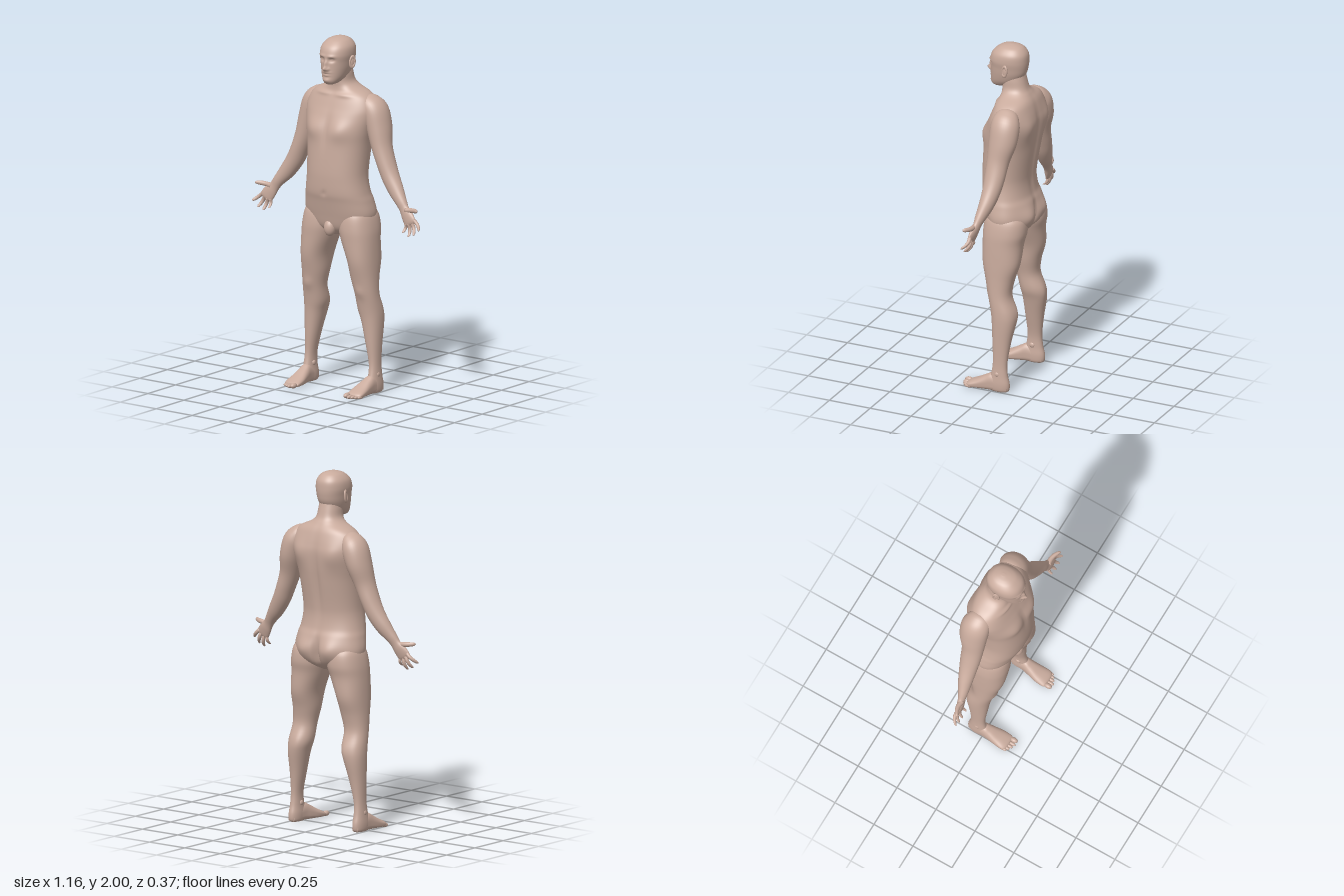
import * as THREE from 'three';

const skin = new THREE.MeshStandardMaterial({ color: 0xc9ab9d });
const sp = (v, p) => Math.sign(v) * Math.abs(v) ** p;

// Catmull-Rom blend of table rows
function sample(rows, t) {
  const last = rows.length - 1;
  const i = Math.min(Math.floor(t), last - 1), f = t - i;
  const [a, b, c, d] = [Math.max(i - 1, 0), i, i + 1, Math.min(i + 2, last)].map(k => rows[k]);
  return b.map((_, k) => 0.5 * (2 * b[k] + (c[k] - a[k]) * f
    + (2 * a[k] - 5 * b[k] + 4 * c[k] - d[k]) * f * f
    + (3 * b[k] - a[k] - 3 * c[k] + d[k]) * f * f * f));
}

// Closed smooth skin through cross-sections; side = -1 mirrors it in x
function loft(name, rows, place, { seg = 32, steps = 5, side = 1, bumps = [] } = {}) {
  const pos = [], idx = [], n = (rows.length - 1) * steps;
  for (let i = 0; i <= n; i++) {
    const t = i / steps, row = sample(rows, t);
    const before = sample(rows, Math.max(t - 0.05, 0)), after = sample(rows, Math.min(t + 0.05, rows.length - 1));
    const tangent = after.map((v, k) => v - before[k]);
    for (let j = 0; j < seg; j++) {
      const a = j / seg * Math.PI * 2;
      const p = place(row, Math.cos(a), Math.sin(a), tangent);
      // soft muscle and face forms: [face, |x|, y, widthX, widthY, amount]
      let dz = 0;
      for (const [face, bx, by, wx, wy, amount] of bumps) {
        const s = Math.min(1, Math.max(0, face * Math.sin(a) * 2));
        dz += face * s * amount * Math.exp(-(((Math.abs(p[0]) - bx) / wx) ** 2) - ((p[1] - by) / wy) ** 2);
      }
      pos.push(p[0] * side, p[1], p[2] + dz);
    }
  }
  for (let i = 0; i < n; i++) for (let j = 0; j < seg; j++) {
    const a = i * seg + j, b = i * seg + (j + 1) % seg;
    idx.push(a, a + seg, b, b, a + seg, b + seg);
  }
  for (const r of [0, n]) {
    const c = [0, 0, 0], at = pos.length / 3;
    for (let j = 0; j < seg; j++) for (let k = 0; k < 3; k++) c[k] += pos[(r * seg + j) * 3 + k] / seg;
    pos.push(...c);
    for (let j = 0; j < seg; j++) {
      const a = r * seg + j, b = r * seg + (j + 1) % seg;
      idx.push(at, r ? b : a, r ? a : b);
    }
  }
  // turn the faces outward
  const P = i => new THREE.Vector3().fromArray(pos, i * 3);
  let volume = 0;
  for (let i = 0; i < idx.length; i += 3) volume += P(idx[i]).dot(P(idx[i + 1]).cross(P(idx[i + 2])));
  if (volume < 0) idx.reverse();
  const g = new THREE.BufferGeometry();
  g.setAttribute('position', new THREE.Float32BufferAttribute(pos, 3));
  g.setIndex(idx);
  g.computeVertexNormals();
  const m = new THREE.Mesh(g, skin);
  m.name = name;
  return m;
}

// Level rings: [y, centreX, halfWidth, frontZ, backZ]
const level = ([y, cx, hx, zf, zb], c, s) =>
  [cx + hx * sp(c, 0.9), y, (zf + zb) / 2 + (zf - zb) / 2 * sp(s, 0.9)];
// Limb rings square to the path: [x, y, z, halfWidth, halfDepth]
const limb = ([x, y, z, ru, rv], c, s, t) => {
  const l = Math.hypot(t[0], t[1]) || 1;
  return [x - t[1] / l * ru * c, y + t[0] / l * ru * c, z + rv * s];
};
// Foot rings along z: [z, centreX, halfWidth, top, bottom]
const upright = ([z, cx, hx, top, bot], c, s) =>
  [cx + hx * sp(c, 0.8), (top + bot) / 2 + (top - bot) / 2 * sp(s, s < 0 ? 0.5 : 1), z];

function ellipsoid(name, x, y, z, rx, ry, rz) {
  const m = new THREE.Mesh(new THREE.SphereGeometry(1, 24, 16), skin);
  m.name = name;
  m.position.set(x, y, z);
  m.scale.set(rx, ry, rz);
  return m;
}

function makeTorso() {
  return loft('torso', [
    [0.885, 0, 0.05, 0.05, -0.06], [0.93, 0, 0.18, 0.085, -0.135], [1.0, 0, 0.218, 0.105, -0.158],
    [1.08, 0, 0.207, 0.125, -0.15], [1.13, 0, 0.194, 0.138, -0.135], [1.2, 0, 0.182, 0.143, -0.128],
    [1.27, 0, 0.18, 0.143, -0.135], [1.4, 0, 0.188, 0.135, -0.158], [1.48, 0, 0.202, 0.125, -0.17],
    [1.56, 0, 0.22, 0.1, -0.175], [1.61, 0, 0.222, 0.08, -0.168], [1.66, 0, 0.2, 0.06, -0.155],
    [1.69, 0, 0.165, 0.045, -0.143], [1.72, 0, 0.1, 0.04, -0.124], [1.75, 0, 0.07, 0.042, -0.106],
    [1.8, 0, 0.063, 0.045, -0.092], [1.85, 0, 0.055, 0.03, -0.08],
  ], level, {
    seg: 96, steps: 6, bumps: [
      [1, 0.09, 1.49, 0.06, 0.055, 0.016], [1, 0, 1.48, 0.02, 0.09, -0.008], // chest
      [1, 0, 1.13, 0.012, 0.015, -0.006], [1, 0.07, 1.68, 0.06, 0.012, 0.008], // navel, collarbones
      [-1, 0.12, 1.55, 0.06, 0.07, 0.015], [-1, 0, 1.4, 0.022, 0.2, -0.015], // shoulder blades, spine
      [-1, 0.09, 1.01, 0.06, 0.06, 0.024], [-1, 0, 0.98, 0.016, 0.08, -0.035], // seat
    ],
  });
}

function makeHead() {
  const head = new THREE.Group();
  head.name = 'head';
  head.add(loft('skullAndFace', [
    [1.742, 0, 0.02, 0.095, 0.05], [1.75, 0, 0.036, 0.105, 0.02], [1.765, 0, 0.05, 0.112, -0.02],
    [1.79, 0, 0.064, 0.113, -0.06], [1.83, 0, 0.076, 0.113, -0.09], [1.87, 0, 0.083, 0.113, -0.101],
    [1.91, 0, 0.089, 0.114, -0.104], [1.95, 0, 0.084, 0.1, -0.099], [1.98, 0, 0.062, 0.068, -0.077],
    [1.994, 0, 0.036, 0.036, -0.05], [2.0, 0, 0.008, 0.0, -0.02],
  ], level, {
    seg: 128, steps: 8, bumps: [
      [1, 0, 1.835, 0.012, 0.013, 0.026], [1, 0, 1.862, 0.01, 0.022, 0.016], // nose
      [1, 0.015, 1.831, 0.007, 0.008, 0.008], // nostrils
      [1, 0.032, 1.885, 0.016, 0.011, -0.013], [1, 0.032, 1.884, 0.009, 0.004, 0.006], // eyes
      [1, 0.03, 1.905, 0.025, 0.008, 0.005], // brow
      [1, 0, 1.813, 0.024, 0.006, 0.008], [1, 0, 1.799, 0.02, 0.006, 0.007], // lips
      [1, 0, 1.806, 0.024, 0.003, -0.005], [1, 0, 1.768, 0.025, 0.014, 0.007], // mouth, chin
    ],
  }));
  for (const side of [1, -1]) {
    const ear = new THREE.Group();
    ear.name = side > 0 ? 'leftEar' : 'rightEar';
    const rim = new THREE.Mesh(new THREE.TorusGeometry(0.016, 0.006, 10, 24), skin);
    rim.name = 'earRim';
    rim.scale.set(1, 1.75, 1);
    ear.add(rim, ellipsoid('earBowl', 0, -0.004, -side * 0.004, 0.015, 0.026, 0.005));
    ear.position.set(side * 0.092, 1.865, -0.005);
    ear.rotation.set(-0.12, side > 0 ? Math.PI / 2 - 0.35 : Math.PI / 2 + 0.35, 0);
    ear.children[1].position.z = 0;
    head.add(ear);
  }
  return head;
}

function makeArm(side) {
  const arm = new THREE.Group();
  arm.name = side > 0 ? 'leftArm' : 'rightArm';
  arm.add(loft('armAndPalm', [
    [0.15, 1.655, -0.06, 0.035, 0.05], [0.175, 1.635, -0.062, 0.055, 0.07], [0.207, 1.59, -0.066, 0.07, 0.083],
    [0.237, 1.5, -0.064, 0.066, 0.08], [0.265, 1.4, -0.05, 0.056, 0.064], [0.3, 1.31, -0.045, 0.051, 0.058],
    [0.333, 1.24, -0.04, 0.05, 0.051], [0.38, 1.17, -0.03, 0.045, 0.041], [0.425, 1.115, -0.017, 0.034, 0.029],
    [0.45, 1.08, -0.01, 0.031, 0.021], [0.475, 1.048, -0.004, 0.039, 0.019], [0.498, 1.016, 0.002, 0.041, 0.014],
    [0.506, 1.003, 0.004, 0.03, 0.008],
  ], limb, { side, seg: 40 }));
  // thumb and fingers: base, tip, radius
  const digits = [
    ['thumb', [0.468, 1.078, 0], [0.563, 1.088, 0.022], 0.0135],
    ['indexFinger', [0.52, 1.033, 0], [0.58, 0.982, 0.026], 0.0105],
    ['middleFinger', [0.51, 1.015, 0.002], [0.543, 0.95, 0.026], 0.0105],
    ['ringFinger', [0.492, 1.004, 0.004], [0.507, 0.937, 0.026], 0.01],
    ['littleFinger', [0.472, 1.0, 0.004], [0.466, 0.955, 0.026], 0.009],
  ];
  for (const [name, a, b, r] of digits) {
    const rows = [[0, 1.1], [0.35, 1], [0.65, 0.95], [0.9, 0.75], [0.98, 0.4], [1, 0.08]].map(([t, k]) =>
      [...a.map((v, i) => v + (b[i] - v) * t - (i === 2 ? 0.012 * Math.sin(t * Math.PI) : 0)), r * k, r * k]);
    arm.add(loft(name, rows, limb, { side, seg: 14, steps: 3 }));
  }
  return arm;
}

function makeLeg(side) {
  const leg = new THREE.Group();
  leg.name = side > 0 ? 'leftLeg' : 'rightLeg';
  leg.add(loft('thighAndShin', [
    [1.04, 0.12, 0.075, 0.06, -0.11], [1.0, 0.12, 0.098, 0.085, -0.145], [0.93, 0.126, 0.107, 0.095, -0.152],
    [0.86, 0.138, 0.1, 0.093, -0.138], [0.75, 0.161, 0.081, 0.085, -0.13], [0.65, 0.17, 0.074, 0.063, -0.1],
    [0.56, 0.181, 0.067, 0.042, -0.088], [0.47, 0.187, 0.068, 0.024, -0.118], [0.4, 0.198, 0.058, 0.014, -0.12],
    [0.28, 0.211, 0.041, 0.006, -0.098], [0.17, 0.222, 0.028, 0.0, -0.084], [0.1, 0.225, 0.029, 0.01, -0.088],
    [0.05, 0.225, 0.033, 0.025, -0.099], [0.015, 0.225, 0.031, 0.02, -0.098], [0.002, 0.225, 0.024, 0.01, -0.088],
  ], level, { side, seg: 48, bumps: [[1, 0.18, 0.575, 0.03, 0.03, 0.008], [-1, 0.165, 0.45, 0.03, 0.07, 0.006]] }));
  leg.add(loft('foot', [
    [-0.09, 0.225, 0.02, 0.04, 0.004], [-0.06, 0.225, 0.03, 0.08, 0], [0.0, 0.223, 0.034, 0.102, 0],
    [0.04, 0.22, 0.04, 0.085, 0], [0.09, 0.217, 0.048, 0.057, 0], [0.13, 0.217, 0.05, 0.038, 0],
    [0.148, 0.214, 0.044, 0.028, 0.003], [0.155, 0.212, 0.03, 0.02, 0.006],
  ], upright, { side, seg: 32 }));
  // toes, big to little
  [[0.185, 0.165, 0.015], [0.207, 0.166, 0.0105], [0.226, 0.158, 0.01], [0.243, 0.148, 0.0095], [0.257, 0.136, 0.009]]
    .forEach(([x, z, r], i) => leg.add(ellipsoid('toe' + (i + 1), side * x, r, z, r, r, 0.024)));
  // ankle bones
  for (const x of [0.2, 0.247]) leg.add(ellipsoid('ankle', side * x, 0.105, -0.035, 0.01, 0.016, 0.016));
  return leg;
}

export function createModel() {
  const figure = new THREE.Group();
  figure.name = 'standingFigure';
  figure.add(makeTorso(), makeHead());
  for (const side of [1, -1]) figure.add(makeArm(side), makeLeg(side));
  // simplified pelvic form
  figure.add(ellipsoid('pelvicForm', 0, 0.925, 0.078, 0.034, 0.048, 0.033));
  return figure;
}
